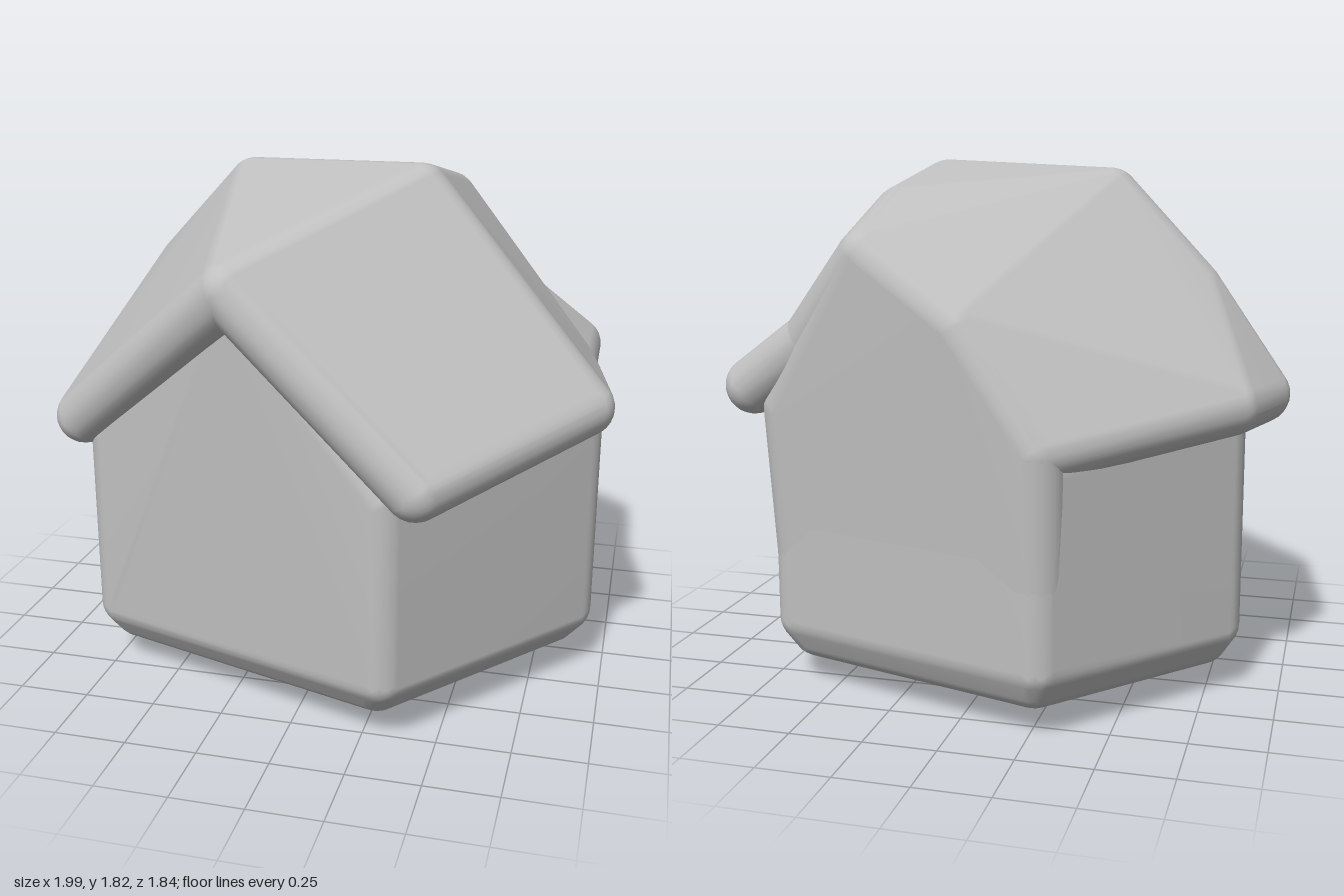
import * as THREE from 'three';
import { ConvexGeometry } from 'three/addons/geometries/ConvexGeometry.js';
import { mergeVertices } from 'three/addons/utils/BufferGeometryUtils.js';

const R = 0.1; // rounding radius of every corner

// Convex solid with rounded edges: the hull of small balls set at the corners
function roundedHull(corners) {
  const ball = new THREE.IcosahedronGeometry(R, 4);
  ball.deleteAttribute('normal');
  ball.deleteAttribute('uv');
  const p = mergeVertices(ball, 1e-4).attributes.position;
  const points = [];
  for (const [x, y, z] of corners) {
    for (let i = 0; i < p.count; i++) {
      points.push(new THREE.Vector3(x + p.getX(i), y + p.getY(i), z + p.getZ(i)));
    }
  }
  const hull = new ConvexGeometry(points);
  hull.deleteAttribute('normal');
  const smooth = mergeVertices(hull, 1e-4);
  smooth.computeVertexNormals();
  return smooth;
}

export function createModel() {
  const group = new THREE.Group();
  const clay = new THREE.MeshStandardMaterial({ color: 0xc0c0c0 });
  clay.name = 'grey clay';

  const add = (name, corners) => {
    const mesh = new THREE.Mesh(roundedHull(corners), clay);
    mesh.name = name;
    group.add(mesh);
  };

  // Six-sided walls: [x, top y, z] of each corner, going round
  const plan = [
    [0.31, 0.86, 0.76], [0.85, 1.0, 0.11], [0.62, 0.98, -0.55],
    [-0.27, 0.86, -0.81], [-0.76, 0.97, -0.27], [-0.7, 0.88, 0.45],
  ];
  const ring = (scale, y) => plan.map(([x, , z]) => [-0.06 + (x + 0.06) * scale, y, -0.15 + (z + 0.15) * scale]);
  // Walls with both gables and a bellied underside
  add('walls', [
    ...plan, ...ring(1, 0.24), ...ring(0.95, 0.185), ...ring(0.8, 0.145), ...ring(0.35, R),
    [-0.19, 1.41, 0.65], [0.26, 1.62, 0.1], [-0.32, 1.6, -0.1], [0.27, 1.45, -0.67],
  ]);

  // Eave corners of the roof
  const eave = {
    frontLeft: [0.43, 0.92, 0.82], left: [0.895, 1.06, 0.3],
    leftDip: [0.81, 1.08, -0.1], backLeft: [0.8, 1.05, -0.54],
    backRight: [-0.27, 0.93, -0.825], rightBulge: [-0.82, 1.03, -0.41],
    right: [-0.9, 1.04, -0.21], frontRight: [-0.82, 0.95, 0.47],
  };
  // Peaks, shoulders and swells of the ridge
  const top = {
    front: [-0.18, 1.49, 0.75], left: [0.3, 1.72, 0.12],
    right: [-0.36, 1.69, -0.11], back: [0.32, 1.505, -0.68],
  };
  const backSwell = [0.32, 1.63, -0.34];
  const backDip = [0.56, 1.22, -0.585];
  const rightHip = [-0.66, 1.38, -0.17];
  const gableSwell = [-0.01, 1.29, -0.775];

  // Roof slopes
  add('frontLeftSlope', [eave.frontLeft, eave.left, top.left, top.front]);
  add('leftHipSlope', [eave.left, eave.leftDip, top.left]);
  add('backLeftSlope', [eave.leftDip, backDip, top.back, backSwell, top.left]);
  add('backLeftEave', [eave.leftDip, backDip, eave.backLeft]);
  add('backRightSlope', [eave.backRight, eave.rightBulge, eave.right, rightHip, top.right, top.back, gableSwell]);
  add('frontRightSlope', [eave.right, eave.frontRight, top.front, top.right, rightHip]);
  // Back gable, running smoothly into the wall below
  add('backGable', [
    top.back, gableSwell, eave.backRight, [0.65, 0.98, -0.56],
    [-0.27, 0.45, -0.808], [0.62, 0.45, -0.548],
  ]);
  // Crown between the two gable peaks
  add('roofCrown', [top.front, top.left, top.right, backSwell, top.back]);

  return group;
}
